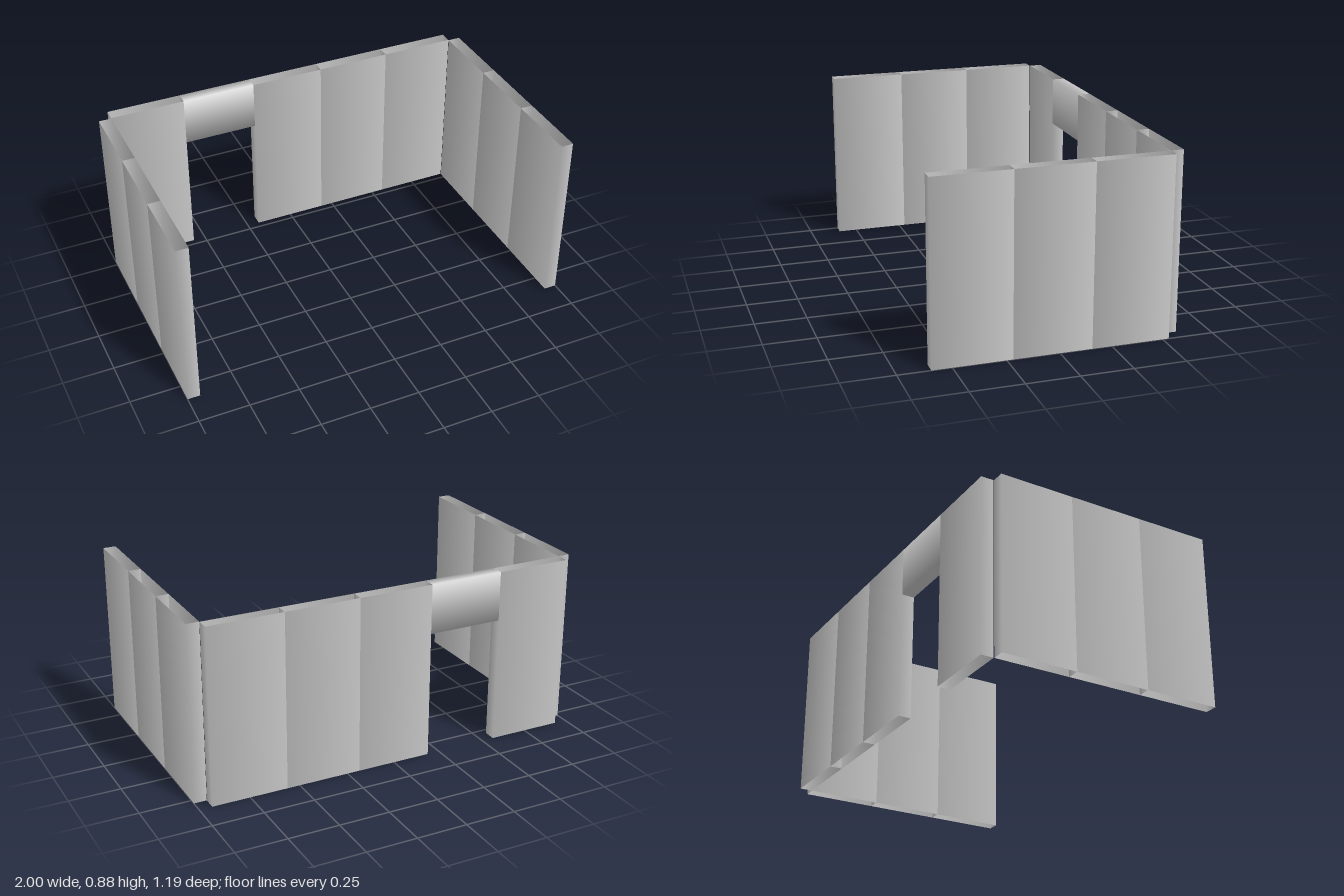
import * as THREE from 'three';

const WIDTH = 0.375, DEPTH = 0.0625, HEIGHT = 0.876;
const LINTEL_BOTTOM = 0.63;
const BACK_Z = -0.564, SIDE_X = 0.96875, FRONT_Z = 0.595;

const material = new THREE.MeshStandardMaterial({ color: 0xcccccc, side: THREE.DoubleSide });

// Four-sided sleeve, open at both ends, with normals rounded across its corners
function sleeve(name, sx, sy, sz, x, y, z, alongX = false) {
  const geometry = new THREE.CylinderGeometry(Math.SQRT1_2, Math.SQRT1_2, 1, 4, 1, true);
  geometry.rotateY(Math.PI / 4);
  if (alongX) geometry.rotateZ(Math.PI / 2);
  // stretch positions only, so the normals stay diagonal at the corners
  geometry.attributes.position.applyMatrix4(new THREE.Matrix4().makeScale(sx, sy, sz));
  const mesh = new THREE.Mesh(geometry, material);
  mesh.name = name;
  mesh.position.set(x, y, z);
  return mesh;
}

export function createModel() {
  const model = new THREE.Group();
  model.name = 'wallEnclosure';

  // Back wall: five bays, the second one is the doorway
  const backWall = new THREE.Group();
  backWall.name = 'backWall';
  for (let i = 0; i < 5; i++) {
    const x = (i - 2) * WIDTH;
    if (i === 1) {
      const h = HEIGHT - LINTEL_BOTTOM;
      backWall.add(sleeve('doorLintel', WIDTH, h, DEPTH, x, LINTEL_BOTTOM + h / 2, BACK_Z, true));
    } else {
      backWall.add(sleeve('backPanel', WIDTH, HEIGHT, DEPTH, x, HEIGHT / 2, BACK_Z));
    }
  }
  model.add(backWall);

  // Side walls: three panels each
  for (const side of [-1, 1]) {
    const wall = new THREE.Group();
    wall.name = side > 0 ? 'leftWall' : 'rightWall';
    for (let i = 0; i < 3; i++) {
      const z = FRONT_Z - (i + 0.5) * WIDTH;
      wall.add(sleeve('sidePanel', DEPTH, HEIGHT, WIDTH, side * SIDE_X, HEIGHT / 2, z));
    }
    model.add(wall);
  }
  return model;
}
